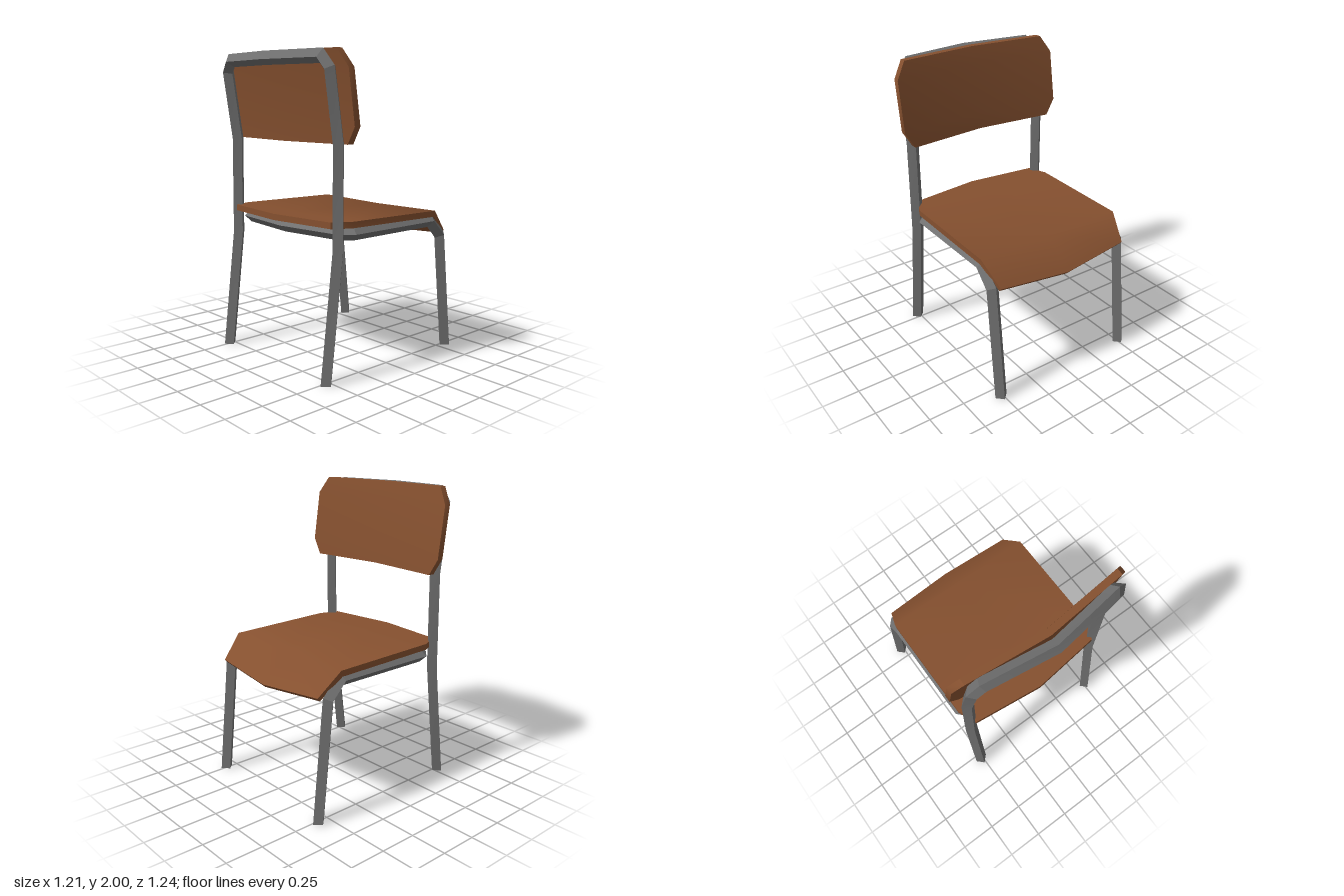
import * as THREE from 'three';
import { toCreasedNormals } from 'three/addons/utils/BufferGeometryUtils.js';

const V = (x, y, z) => new THREE.Vector3(x, y, z);

function geometryFrom(points, quads) {
  const geo = new THREE.BufferGeometry().setFromPoints(points);
  geo.setIndex(quads.flatMap(([a, b, c, d]) => [a, b, c, a, c, d]));
  return geo;
}

// Mirror half a path (ending at x = 0) to the other side
function mirrorPath(half) {
  const other = half.slice(0, -1).reverse().map(p => V(-p.x, p.y, p.z));
  return [...half, ...other];
}

// Mitred diamond-section bar whose two ends are cut flat on the floor
function diamondBar(path, r) {
  const dir = i => path[i + 1].clone().sub(path[i]).normalize();
  const last = path.length - 1;
  let ring = [V(r, 0, 0), V(0, 0, -r), V(-r, 0, 0), V(0, 0, r)].map(v => v.add(path[0]));
  const points = [...ring], quads = [[3, 2, 1, 0]];
  for (let i = 1; i <= last; i++) {
    const d = dir(i - 1);
    const n = i < last ? d.clone().add(dir(i)) : V(0, 1, 0);
    ring = ring.map(v => v.clone().addScaledVector(d, path[i].clone().sub(v).dot(n) / d.dot(n)));
    points.push(...ring);
    for (let k = 0; k < 4; k++) {
      const a = (i - 1) * 4 + k, b = (i - 1) * 4 + (k + 1) % 4;
      quads.push([a, b, b + 4, a + 4]);
    }
  }
  const e = last * 4;
  quads.push([e, e + 1, e + 2, e + 3]);
  return toCreasedNormals(geometryFrom(points, quads), 0.3);
}

// Thin bowed board: each row has an edge point, a centre point and a thickness offset
function board(rows) {
  const top = rows.flatMap(({ edge, mid }) => [V(-edge.x, edge.y, edge.z), mid, edge]);
  const bottom = top.map((p, i) => p.clone().add(rows[Math.floor(i / 3)].off));
  const n = top.length, quads = [], rim = [];
  for (let i = 0; i < rows.length - 1; i++) {
    for (let j = 0; j < 2; j++) {
      const a = i * 3 + j, b = a + 3;
      quads.push([a, b, b + 1, a + 1], [n + a + 1, n + b + 1, n + b, n + a]);
    }
  }
  for (let i = 0; i < rows.length; i++) rim.push(i * 3);
  rim.push(n - 2);
  for (let i = rows.length - 1; i >= 0; i--) rim.push(i * 3 + 2);
  rim.push(1);
  rim.forEach((p, i) => {
    const q = rim[(i + 1) % rim.length];
    quads.push([p, p + n, q + n, q]);
  });
  return toCreasedNormals(geometryFrom([...top, ...bottom], quads), 0.95);
}

export function createModel() {
  const group = new THREE.Group();
  const wood = new THREE.MeshStandardMaterial({ color: 0x85502f });
  wood.name = 'brown wood';
  const metal = new THREE.MeshStandardMaterial({ color: 0x707070 });
  metal.name = 'grey metal';
  const add = (name, geo, mat) => {
    const mesh = new THREE.Mesh(geo, mat);
    mesh.name = name;
    group.add(mesh);
  };
  const X = 0.512, R = 0.044;

  // Rear legs rising into the backrest hoop
  add('backFrame', diamondBar(mirrorPath([
    V(X, 0, 0.533), V(X, 0.79, 0.438), V(X, 1.44, 0.432),
    V(X, 1.885, 0.5), V(0.455, 1.956, 0.512), V(0, 1.956, 0.575),
  ]), R), metal);

  // Front legs, seat rails and rear crossbar
  add('seatFrame', diamondBar(mirrorPath([
    V(X, 0, -0.578), V(X, 0.793, -0.496), V(X, 0.901, -0.39),
    V(X, 0.901, 0.31), V(0.455, 0.901, 0.37), V(0, 0.901, 0.43),
  ]), R), metal);

  // Seat with a drooping front lip
  const down = V(0, -0.04, 0);
  add('seat', board([
    { edge: V(0.495, 0.812, -0.565), mid: V(0, 0.775, -0.603), off: V(0, -0.02, 0.018) },
    { edge: V(0.54, 0.966, -0.415), mid: V(0, 0.958, -0.415), off: V(0, -0.04, 0.01) },
    { edge: V(0.54, 0.98, 0.34), mid: V(0, 0.974, 0.36), off: down },
    { edge: V(0.485, 0.983, 0.47), mid: V(0, 0.983, 0.525), off: down },
  ]), wood);

  // Backrest, bowed backwards in the middle: [half width, height, depth]
  const backRows = [[0.54, 1.443, 0.34], [0.605, 1.55, 0.345], [0.605, 1.89, 0.395], [0.535, 2, 0.426]];
  add('backrest', board(backRows.map(([w, y, z]) => ({
    edge: V(w, y, z), mid: V(0, y, z + 0.093 * w), off: V(0, 0, 0.045),
  }))), wood);

  return group;
}
